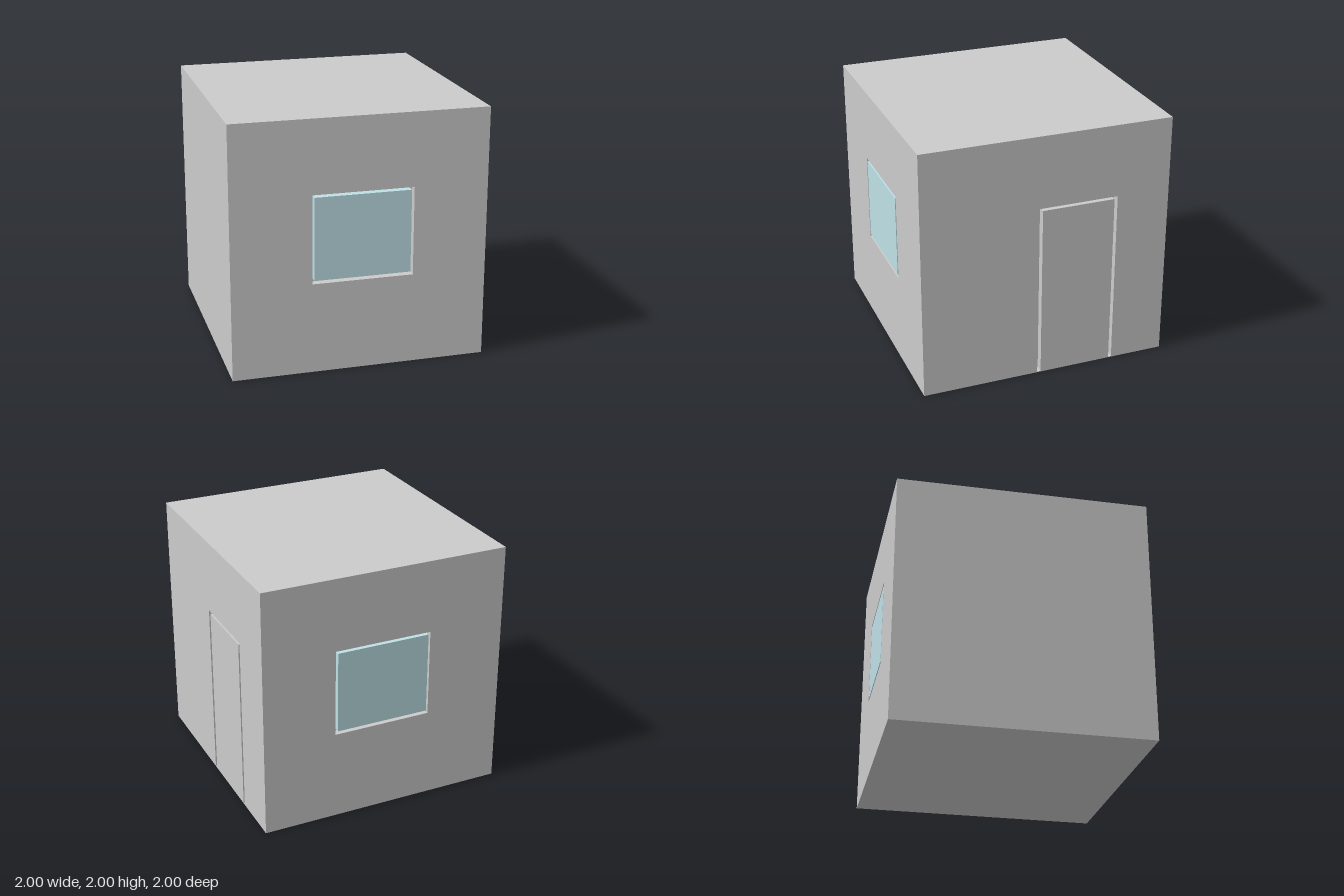
import * as THREE from 'three';

const DEPTH = 0.06; // wall skin thickness, also the depth of the reveal groove
const FLOOR = 0.005;

const grey = new THREE.MeshStandardMaterial({ color: 0xcccccc });
const glass = new THREE.MeshStandardMaterial({ color: 0xbee0e6 });

function box(name, x0, x1, y0, y1, z0, z1, material = grey) {
  const mesh = new THREE.Mesh(new THREE.BoxGeometry(x1 - x0, y1 - y0, z1 - z0), material);
  mesh.position.set((x0 + x1) / 2, (y0 + y1) / 2, (z0 + z1) / 2);
  mesh.name = name;
  return mesh;
}

const points = (list) => list.map(([x, y]) => new THREE.Vector2(x, y));

// Wall skin facing +z with an opening; an opening at floor level becomes a notch
function wall(name, half, [x0, x1, y0, y1]) {
  const notch = y0 <= FLOOR;
  const outline = [[-half, FLOOR]];
  if (notch) outline.push([x0, FLOOR], [x0, y1], [x1, y1], [x1, FLOOR]);
  outline.push([half, FLOOR], [half, 2], [-half, 2]);
  const shape = new THREE.Shape(points(outline));
  if (!notch) shape.holes.push(new THREE.Path(points([[x0, y0], [x0, y1], [x1, y1], [x1, y0]])));
  const geometry = new THREE.ExtrudeGeometry(shape, { depth: DEPTH, bevelEnabled: false });
  const mesh = new THREE.Mesh(geometry, grey);
  mesh.position.z = 1 - DEPTH;
  mesh.name = name;
  return mesh;
}

// One side of the room: wall skin plus the panel set in its opening
function side(name, half, opening, panelName, [x0, x1, y0, y1], material, angle) {
  const group = new THREE.Group();
  group.name = name;
  group.add(wall(name + 'Wall', half, opening));
  group.add(box(panelName, x0, x1, y0, y1, 1 - DEPTH, 1, material));
  group.rotation.y = angle;
  return group;
}

export function createModel() {
  const model = new THREE.Group();
  model.name = 'room';
  const inner = 1 - DEPTH;

  // Floor slab and solid core, whose left face is the plain left wall
  model.add(box('floor', -1, 1, 0, FLOOR, -1, 1));
  model.add(box('core', -1, inner, FLOOR, 2, -inner, inner));

  // Front and back windows share the same x range
  model.add(side('front', 1, [-0.375, 0.415, 0.72, 1.42],
    'frontWindow', [-0.36, 0.395, 0.745, 1.4], glass, 0));
  model.add(side('back', 1, [-0.415, 0.375, 0.72, 1.42],
    'backWindow', [-0.395, 0.36, 0.745, 1.4], glass, Math.PI));

  // Doorway on the +x side
  model.add(side('doorSide', inner, [-0.07, 0.57, FLOOR, 1.42],
    'door', [-0.04, 0.545, FLOOR, 1.4], grey, Math.PI / 2));

  return model;
}
